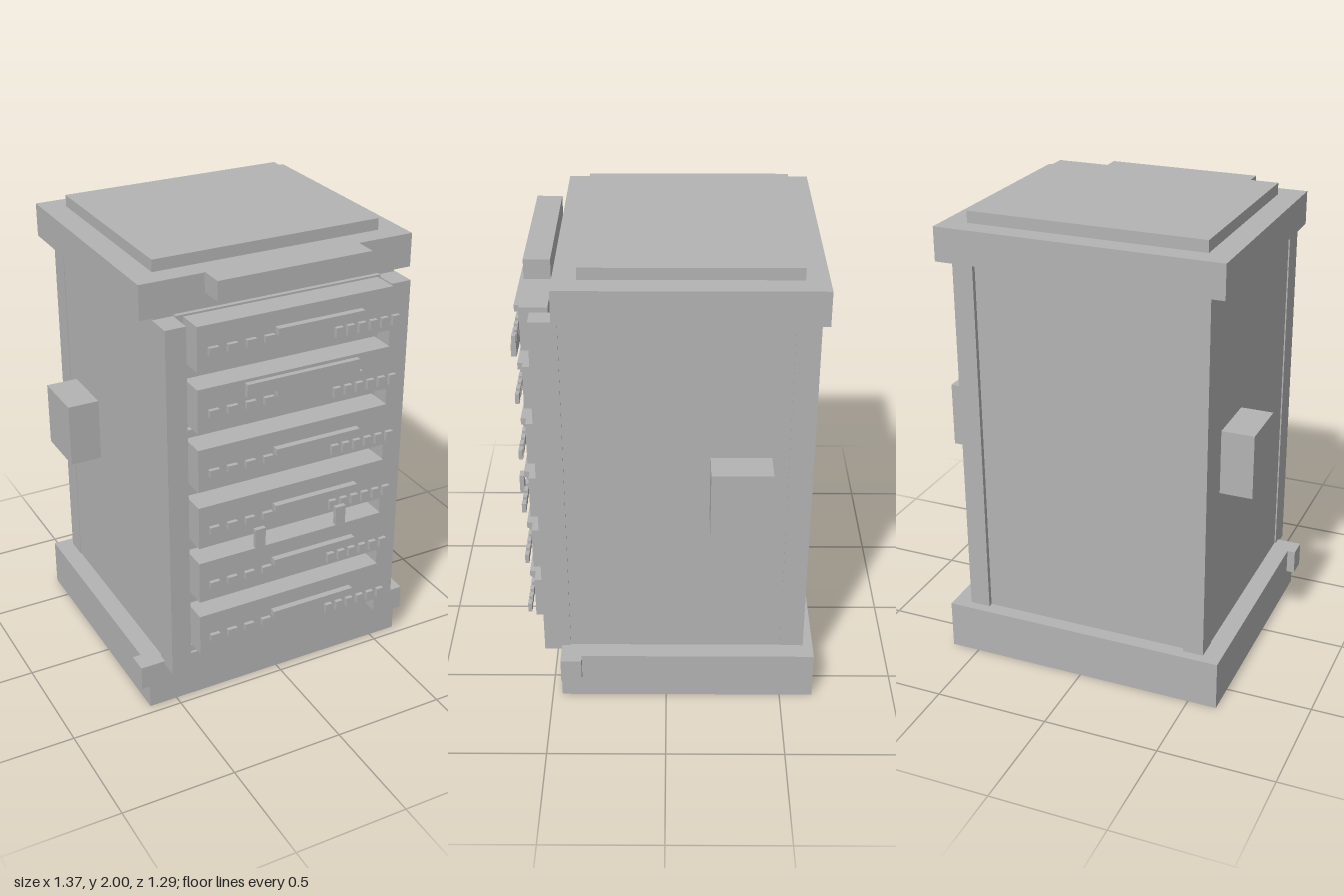
import * as THREE from 'three';

export function createModel() {
  const model = new THREE.Group();
  model.name = 'serverCabinet';
  const grey = new THREE.MeshStandardMaterial({ color: 0xb3b3b3 });
  grey.name = 'plain grey';

  // Box given by its minimum and maximum on each axis
  function box(name, [x0, x1], [y0, y1], [z0, z1], parent = model) {
    const mesh = new THREE.Mesh(new THREE.BoxGeometry(x1 - x0, y1 - y0, z1 - z0), grey);
    mesh.position.set((x0 + x1) / 2, (y0 + y1) / 2, (z0 + z1) / 2);
    mesh.name = name;
    parent.add(mesh);
    return mesh;
  }
  // The same box on both sides
  function pair(name, [x0, x1], y, z) {
    box(name + 'Left', [x0, x1], y, z);
    box(name + 'Right', [-x1, -x0], y, z);
  }

  // Plinth, cap and sign
  box('base', [-0.626, 0.626], [0, 0.215], [-0.643, 0.458]);
  pair('baseLatch', [0.6, 0.662], [0.105, 0.215], [0.368, 0.458]);
  box('cap', [-0.612, 0.612], [1.805, 1.95], [-0.624, 0.437]);
  box('topPlate', [-0.51, 0.51], [1.95, 2], [-0.53, 0.341]);
  box('sign', [-0.342, 0.342], [1.877, 1.96], [0.453, 0.56]);

  // Cabinet body with corner posts and a recessed back
  box('core', [-0.545, 0.545], [0.2, 1.81], [-0.58, 0.42]);
  pair('backPost', [0.458, 0.548], [0.2, 1.81], [-0.6, -0.5]);
  pair('frontPost', [0.462, 0.551], [0.195, 1.79], [0.419, 0.533]);
  pair('sideBox', [0.54, 0.685], [0.9, 1.18], [-0.43, -0.18]);

  // Backing panels between the front posts
  const panels = [[1.67, 1.8], [1.362, 1.61], [0.79, 1.298], [0.322, 0.718], [0.21, 0.25]];
  for (const y of panels) box('frontPanel', [-0.462, 0.462], y, [0.41, 0.446]);

  // Six server units, each with buttons, a drive slot and indicators
  for (let i = 0; i < 6; i++) {
    const unit = new THREE.Group();
    unit.name = 'serverUnit' + (i + 1);
    unit.position.y = 1.8 - i * 0.2635;
    model.add(unit);
    box('serverCase', [-0.44, 0.437], [-0.19, 0], [0.463, 0.577], unit);
    box('driveSlot', [-0.105, 0.287], [-0.09, -0.061], [0.585, 0.613], unit);
    for (let b = 0; b < 4; b++) {
      const x = -0.407 + b * 0.081;
      box('button', [x, x + 0.043], [-0.11, -0.079], [0.6, 0.617], unit);
    }
    for (let n = 0; n < 6; n++) {
      const x = 0.159 + n * 0.053;
      box('indicator', [x, x + 0.032], [-0.158, -0.115], [0.592, 0.609], unit);
    }
  }

  // Raised label plate and the two handles
  box('labelPlate', [-0.255, 0.255], [1.49, 1.545], [0.617, 0.64]);
  pair('handle', [0.168, 0.215], [0.795, 0.88], [0.624, 0.643]);

  return model;
}
